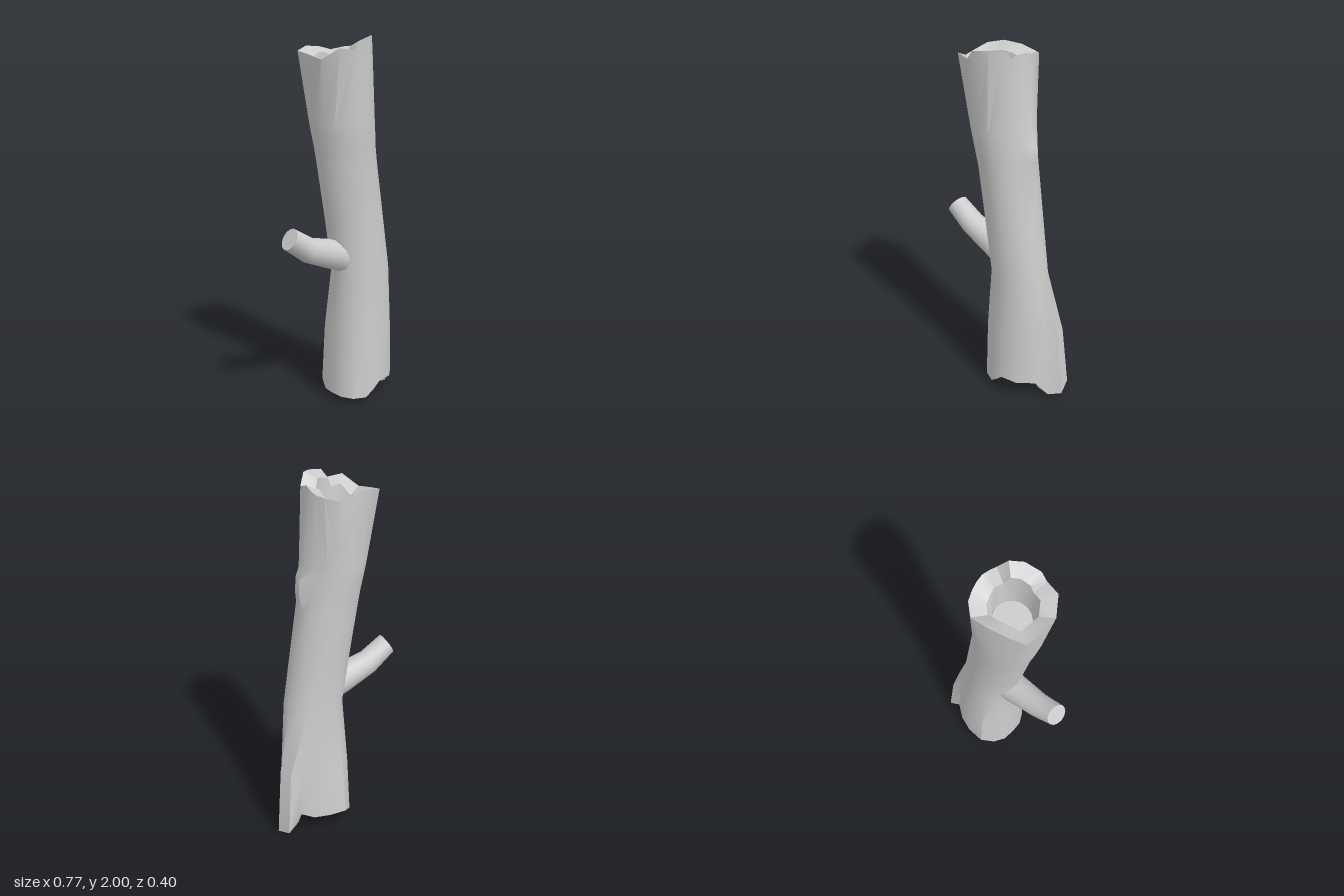
import * as THREE from 'three';
import { toCreasedNormals } from 'three/addons/utils/BufferGeometryUtils.js';

const N = 17;

// Skin a list of closed rings and cap both ends
function loft(rings) {
  const pos = [];
  const tri = (...pts) => pts.forEach((p) => pos.push(p.x, p.y, p.z));
  const n = rings[0].length;
  const cap = (ring, flip) => {
    const c = ring.reduce((s, p) => s.add(p), new THREE.Vector3()).divideScalar(n);
    ring.forEach((p, i) => {
      const q = ring[(i + 1) % n];
      if (flip) tri(c, q, p); else tri(c, p, q);
    });
  };
  cap(rings[0], false);
  for (let j = 0; j < rings.length - 1; j++) {
    for (let i = 0; i < n; i++) {
      const k = (i + 1) % n;
      const a = rings[j][i], b = rings[j][k], c = rings[j + 1][i], d = rings[j + 1][k];
      tri(a, c, b);
      tri(b, c, d);
    }
  }
  cap(rings[rings.length - 1], true);
  const g = new THREE.BufferGeometry();
  g.setAttribute('position', new THREE.Float32BufferAttribute(pos, 3));
  return toCreasedNormals(g, 0.62);
}

// Horizontal ellipse, starting at the left and running round the back
function ellipse(cx, y, cz, rx, rz) {
  return Array.from({ length: N }, (_, i) => {
    const a = THREE.MathUtils.degToRad(162 - (360 / N) * i);
    return new THREE.Vector3(cx + rx * Math.cos(a), y, cz - rz * Math.sin(a));
  });
}

const toRing = (pts) => pts.map(([x, y, z]) => new THREE.Vector3(x, y, z));

// Shrink a ring towards an axis to make the inner lip
const shrink = (ring, cx, cz, s, dy) => ring.map((p) =>
  new THREE.Vector3(cx + (p.x - cx) * s, p.y + dy, cz + (p.z - cz) * s));

// Broken foot with root flares
const foot = toRing([
  [-0.07, 0.04, -0.06], [-0.045, 0.07, -0.13], [0.01, 0.11, -0.19], [0.11, 0.12, -0.2],
  [0.2, 0.12, -0.18], [0.27, 0.14, -0.14], [0.345, 0.04, -0.155], [0.378, 0.01, -0.075],
  [0.325, 0.0, -0.02], [0.3, 0.11, 0.06], [0.23, 0.115, 0.14], [0.14, 0.12, 0.17],
  [0.095, 0.08, 0.172], [0.05, 0.04, 0.165], [-0.02, 0.04, 0.14], [-0.06, 0.04, 0.08],
  [-0.07, 0.04, 0.01],
]);

// Jagged top edge
const crown = toRing([
  [-0.222, 1.925, -0.07], [-0.145, 1.945, -0.115], [-0.05, 1.94, -0.145], [0.04, 1.92, -0.16],
  [0.1, 1.935, -0.12], [0.125, 1.94, -0.075], [0.136, 1.955, -0.04], [0.14, 1.97, 0],
  [0.14, 1.957, 0.04], [0.135, 1.945, 0.08], [0.1, 2.0, 0.12], [0.05, 1.993, 0.17],
  [-0.03, 1.98, 0.195], [-0.065, 1.935, 0.197], [-0.145, 1.945, 0.188], [-0.205, 1.89, 0.12],
  [-0.213, 1.91, 0.02],
]);

function trunkGeometry() {
  const waist = ellipse(0.115, 0.75, 0.01, 0.165, 0.143);
  const flare = foot.map((p, i) => {
    const q = p.clone().lerp(waist[i], 0.3);
    q.y = 0.4;
    return q;
  });
  // Knot swelling on the left side of the trunk
  const knot = (ring) => {
    ring[7].x += 0.027;
    ring[8].x += 0.02;
    return ring;
  };
  return loft([
    ellipse(0.11, 0.2, 0.0, 0.1, 0.1),
    shrink(foot, 0.12, 0, 0.64, 0.01),
    foot,
    flare,
    waist,
    ellipse(0.07, 1.05, 0.01, 0.165, 0.146),
    ellipse(0.025, 1.34, 0.01, 0.166, 0.15),
    knot(ellipse(0.012, 1.42, 0.012, 0.166, 0.156)),
    knot(ellipse(0.0, 1.5, 0.013, 0.172, 0.162)),
    ellipse(-0.01, 1.57, 0.014, 0.176, 0.166),
    crown,
    shrink(crown, -0.04, 0.02, 0.6, -0.03),
    ellipse(-0.035, 1.75, 0.02, 0.095, 0.09),
  ]);
}

// Bent, tapering branch: x, y, z, radius, heading in degrees
function branchGeometry() {
  const path = [
    [0.04, 0.82, 0.02, 0.088, 162],
    [-0.06, 0.852, 0.022, 0.083, 162],
    [-0.235, 0.908, 0.036, 0.068, 155],
    [-0.357, 0.99, 0.047, 0.06, 149],
  ];
  const sides = 14;
  return loft(path.map(([x, y, z, r, deg]) => {
    const a = THREE.MathUtils.degToRad(deg);
    return Array.from({ length: sides }, (_, i) => {
      const t = (-i / sides) * Math.PI * 2;
      const v = r * Math.sin(t);
      return new THREE.Vector3(x + v * Math.sin(a), y - v * Math.cos(a), z + r * Math.cos(t));
    });
  }));
}

export function createModel() {
  const group = new THREE.Group();
  group.name = 'brokenLog';
  const material = new THREE.MeshStandardMaterial({ color: 0xcccccc });
  const add = (name, geometry) => {
    const mesh = new THREE.Mesh(geometry, material);
    mesh.name = name;
    group.add(mesh);
  };
  add('trunk', trunkGeometry());
  add('branch', branchGeometry());
  return group;
}
